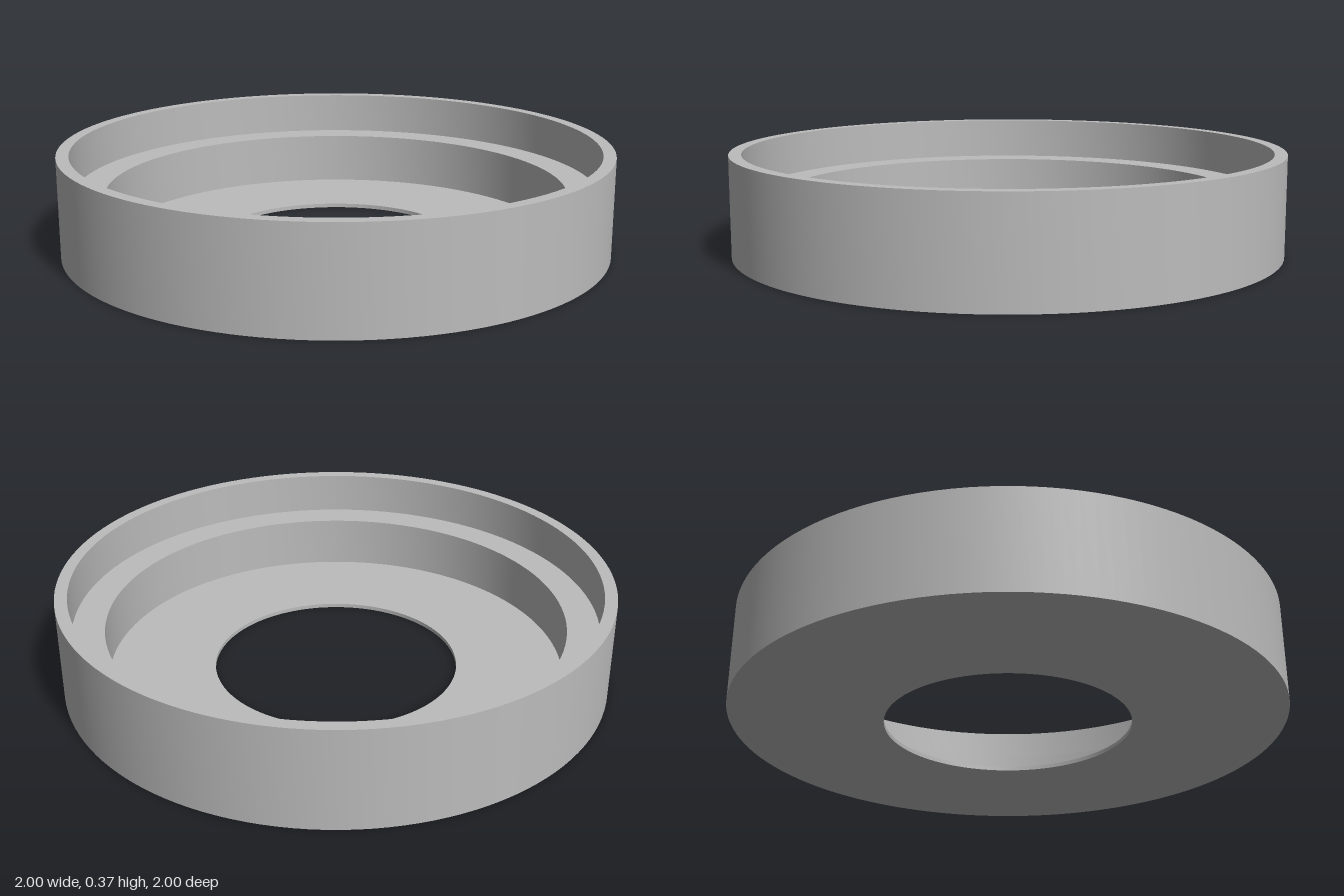
import * as THREE from 'three';
import { toCreasedNormals } from 'three/addons/utils/BufferGeometryUtils.js';

const SEGMENTS = 128;

export function createModel() {
  const group = new THREE.Group();
  group.name = 'steppedRing';

  const grey = new THREE.MeshStandardMaterial({ color: 0xbcbcbc });
  grey.name = 'grey';

  // Closed cross-section [radius, height], from the hole's lower edge outwards
  const profile = [
    [0.448, 0],     // underside, hole edge
    [1, 0],         // underside, outer edge
    [1, 0.365],     // outer wall top
    [0.955, 0.365], // thin rim
    [0.955, 0.209], // upper recess wall
    [0.837, 0.209], // ledge
    [0.837, 0.015], // lower recess wall
    [0.448, 0.015], // thin floor
    [0.448, 0],     // hole wall
  ].map(([r, y]) => new THREE.Vector2(r, y));

  // Smooth round the axis, sharp at the steps
  const geometry = toCreasedNormals(new THREE.LatheGeometry(profile, SEGMENTS), 0.5);
  const body = new THREE.Mesh(geometry, grey);
  body.name = 'ringBody';
  group.add(body);

  return group;
}
